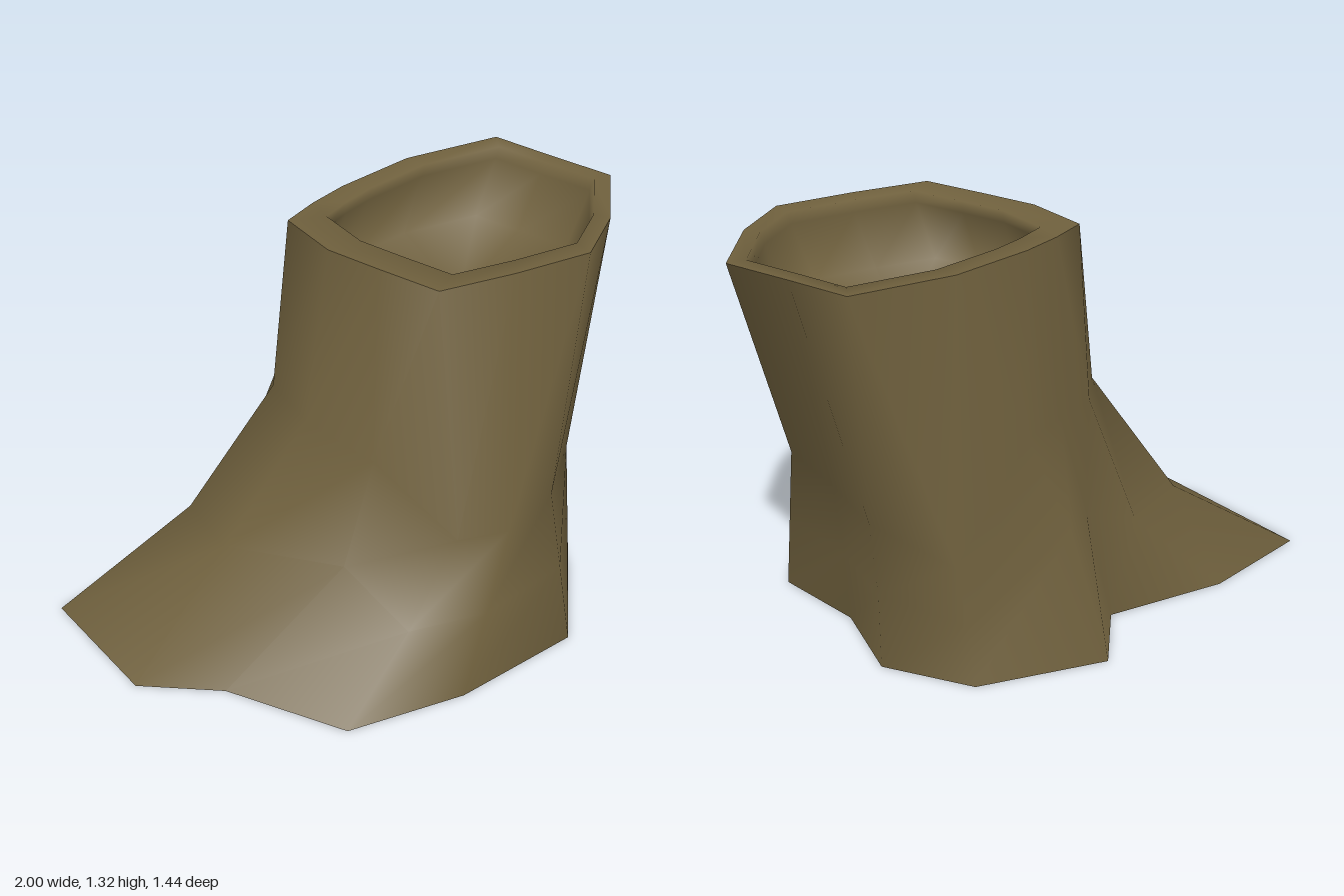
import * as THREE from 'three';

// Outlines as [x, z] or [x, z, own height], running anticlockwise seen from above
const ground = [[-1, -.28], [-.91, .22], [-.65, .37], [-.37, .72], [.05, .72], [.51, .6], [.71, .25],
  [.62, -.08], [.66, -.42], [.45, -.67], [0, -.72], [-.16, -.46], [-.6, -.44]];
const flare = [[-.52, -.25], [-.5, .02], [-.23, .39, .39], [-.11, .625, .25], [.17, .635, .24],
  [.485, .56, .28], [.7, .235, .25], [.64, -.09, .25], [.66, -.41, .25], [.47, -.655, .22],
  [.05, -.56, .4], [-.06, -.46, .4], [-.27, -.42]];
const waist = [[-.22, -.2], [-.21, .05], [-.11, .36], [.1, .55, .5], [.29, .55, .48], [.465, .51, .55],
  [.69, .22, .5], [.67, -.09, .5], [.68, -.4, .5], [.5, -.64, .42], [.2, -.545, .75], [.03, -.445],
  [-.12, -.36]];
const top = [[-.125, -.27], [-.09, -.03], [0, .15], [.11, .36], [.38, .36], [.66, .34], [.84, .16],
  [1, -.11], [.89, -.33], [.79, -.54], [.43, -.52], [.14, -.42], [0, -.35]];

const TOP = 1.32;
const level = (outline, y) => outline.map(([x, z, own = y]) => [x, own, z]);
const inset = (outline, k, dx = 0) =>
  outline.map(([x, z]) => [.5 + (x - .5) * k + dx, -.1 + (z + .1) * k]);

// Joins rings into a smooth skin, optionally closed by a centre point
function loft(rings, centre) {
  const n = rings[0].length;
  const points = rings.flat();
  const index = [];
  for (let r = 0; r < rings.length - 1; r++) {
    for (let i = 0; i < n; i++) {
      const a = r * n + i, b = r * n + (i + 1) % n;
      index.push(a, b, b + n, a, b + n, a + n);
    }
  }
  if (centre) {
    const last = (rings.length - 1) * n;
    for (let i = 0; i < n; i++) index.push(last + i, last + (i + 1) % n, points.length);
    points.push(centre);
  }
  const geometry = new THREE.BufferGeometry();
  geometry.setAttribute('position', new THREE.Float32BufferAttribute(points.flat(), 3));
  geometry.setIndex(index);
  geometry.computeVertexNormals();
  return geometry;
}

export function createModel() {
  const group = new THREE.Group();
  group.name = 'hollowStump';
  const wood = new THREE.MeshStandardMaterial({ color: 0x6f603d, side: THREE.DoubleSide });
  wood.name = 'brown bark';

  // Leaning trunk with spreading roots, open underneath
  const trunk = new THREE.Mesh(loft([
    level(ground, 0), level(flare, .31), level(waist, .75), level(top, TOP),
  ]), wood);
  trunk.name = 'trunk';

  // Rim and leaning hollow with a dished floor
  const hollow = new THREE.Mesh(loft([
    level(top, TOP), level(inset(top, .83, .02), TOP),
    level(inset(top, .82, .01), 1.28), level(inset(top, .8, -.06), 1.08),
  ], [.42, 1, -.09]), wood);
  hollow.name = 'rimAndHollow';

  group.add(trunk, hollow);
  return group;
}
